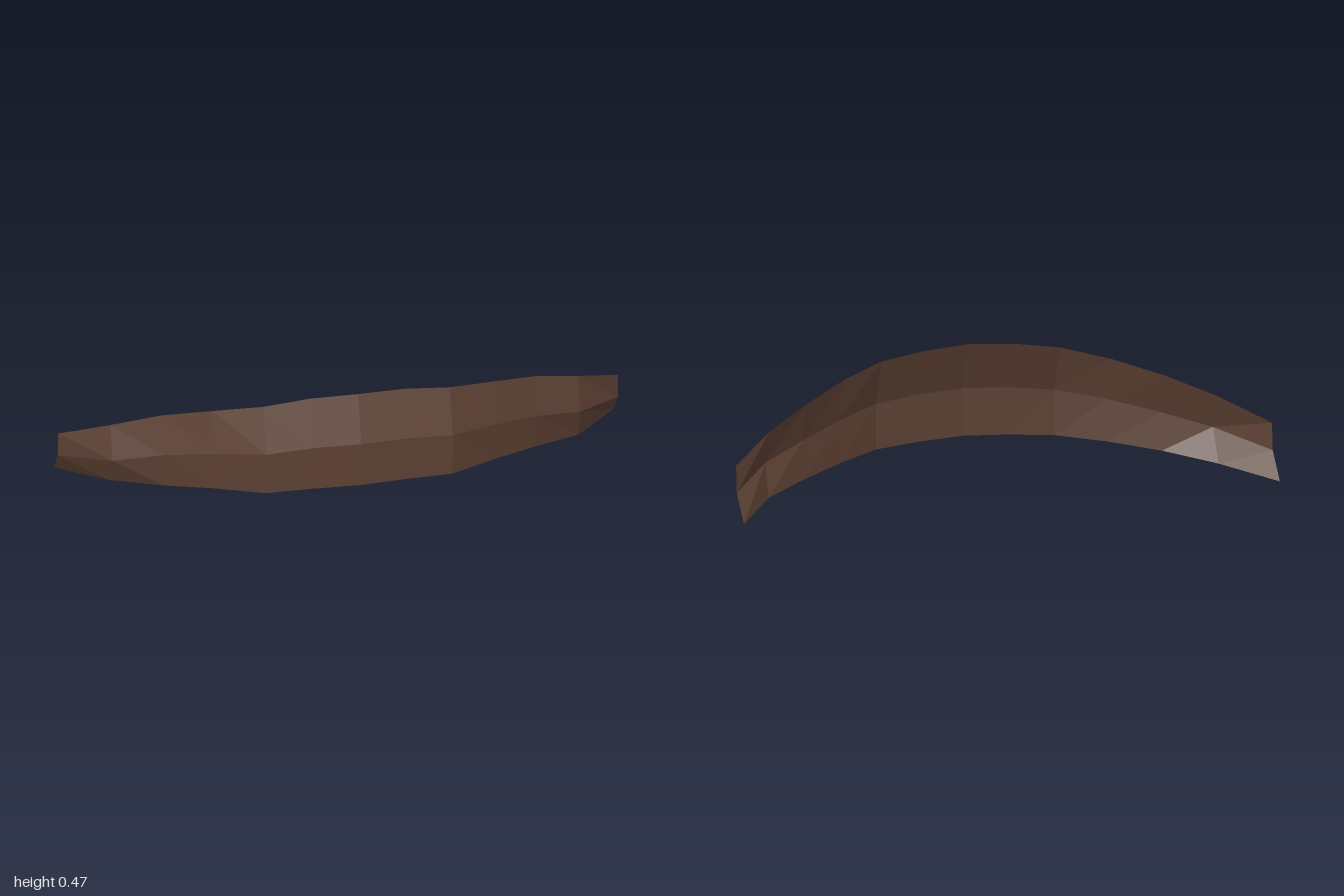
import * as THREE from 'three';

// Each station: x, then (y, z) of the top edge, middle ridge and bottom edge
const stations = [
  [0, 0.478, 0.196, 0.307, 0.257, 0.136, 0.257],
  [0.167, 0.47, 0.181, 0.301, 0.241, 0.131, 0.241],
  [0.333, 0.447, 0.167, 0.283, 0.225, 0.12, 0.222],
  [0.5, 0.407, 0.1, 0.254, 0.142, 0.103, 0.132],
  [0.667, 0.353, 0.013, 0.213, 0.055, 0.077, 0.04],
  [0.835, 0.283, -0.065, 0.162, -0.02, 0.043, -0.055],
  [1, 0.197, -0.174, 0.1, -0.181, 0.003, -0.255],
];

function bandGeometry() {
  const mirrored = stations.slice(1).reverse().map(([x, ...rest]) => [-x, ...rest]);
  mirrored[1][6] = -0.08; // slight unevenness near the right end
  const columns = [...mirrored, ...stations];
  const positions = [];
  const indices = [];
  columns.forEach((c, i) => {
    for (let r = 0; r < 3; r++) {
      positions.push(c[0], c[1 + 2 * r], c[2 + 2 * r]);
      if (i === columns.length - 1 || r === 2) continue;
      const a = i * 3 + r; // upper corner of this panel
      indices.push(a, a + 1, a + 4, a, a + 4, a + 3);
    }
  });
  const geometry = new THREE.BufferGeometry();
  geometry.setAttribute('position', new THREE.Float32BufferAttribute(positions, 3));
  geometry.setIndex(indices);
  const flat = geometry.toNonIndexed();
  flat.computeVertexNormals();
  return flat;
}

export function createModel() {
  const brown = new THREE.MeshStandardMaterial({
    color: 0x5c4033, flatShading: true, side: THREE.DoubleSide,
  });
  brown.name = 'dark brown';

  // Thin arched band, folded along its middle ridge
  const band = new THREE.Mesh(bandGeometry(), brown);
  band.name = 'archedBand';

  const model = new THREE.Group();
  model.name = 'curvedBand';
  model.add(band);
  return model;
}
